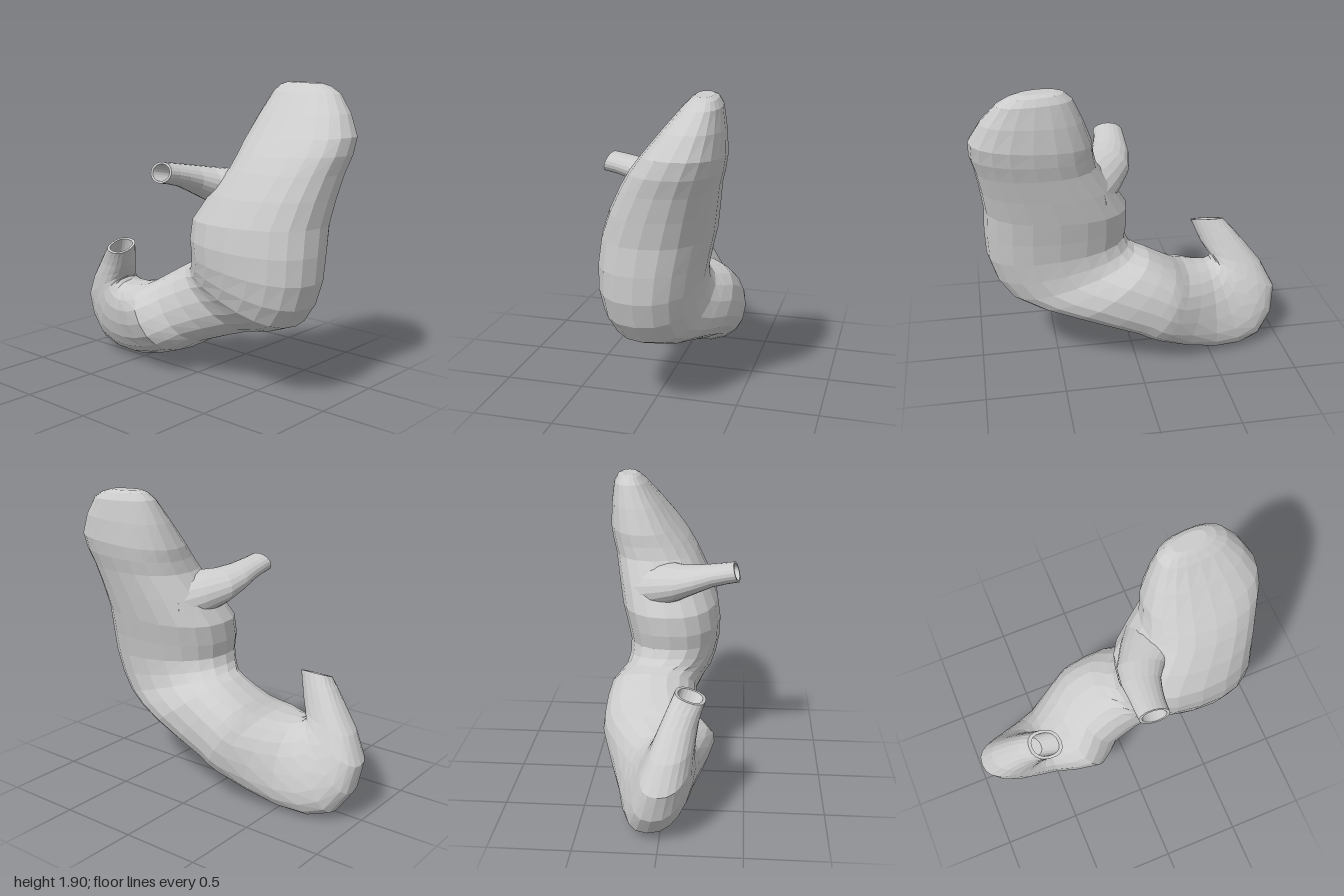
import * as THREE from 'three';

const SIDES = 20;
const vec = (a) => new THREE.Vector3(...a);

// A ring has a centre c and two half axes, u (inner to outer edge) and v (depth)
function ring(inner, outer, depth) {
  const a = vec(inner), b = vec(outer);
  return {
    c: a.clone().add(b).multiplyScalar(0.5),
    u: b.sub(a).multiplyScalar(0.5),
    v: Array.isArray(depth) ? vec(depth) : new THREE.Vector3(0, 0, depth),
  };
}

// Add a smooth in-between ring on every span
function refine(keys) {
  const [c, u, v] = ['c', 'u', 'v'].map(
    (k) => new THREE.CatmullRomCurve3(keys.map((r) => r[k]), false, 'catmullrom', 0.5));
  const steps = (keys.length - 1) * 2;
  return Array.from({ length: steps + 1 }, (_, i) => {
    const t = i / steps;
    return { c: c.getPoint(t), u: u.getPoint(t), v: v.getPoint(t) };
  });
}

// Turn the end of a tube inward to make a lip and a hollow
function withMouth(rings) {
  const n = rings.length, rim = rings[n - 1];
  const shrunk = (s, c) => ({
    c, u: rim.u.clone().multiplyScalar(s), v: rim.v.clone().multiplyScalar(s),
  });
  return [...rings, shrunk(0.8, rim.c), shrunk(0.7, rings[n - 3].c)];
}

// Skin the rings with softened sections and close both ends
function loft(rings, power) {
  const pos = [], idx = [];
  const soft = (n) => Math.sign(n) * Math.pow(Math.abs(n), power);
  for (const r of rings) {
    for (let j = 0; j < SIDES; j++) {
      const t = (j / SIDES) * Math.PI * 2;
      const p = r.c.clone().addScaledVector(r.u, soft(Math.cos(t))).addScaledVector(r.v, soft(Math.sin(t)));
      pos.push(p.x, p.y, p.z);
    }
  }
  const last = rings.length - 1, start = rings.length * SIDES;
  pos.push(...rings[0].c.toArray(), ...rings[last].c.toArray());
  for (let j = 0; j < SIDES; j++) {
    const k = (j + 1) % SIDES;
    for (let i = 0; i < last; i++) {
      const a = i * SIDES + j, b = i * SIDES + k;
      idx.push(a, b, b + SIDES, a, b + SIDES, a + SIDES);
    }
    idx.push(start, k, j, start + 1, last * SIDES + j, last * SIDES + k);
  }
  const g = new THREE.BufferGeometry();
  g.setAttribute('position', new THREE.Float32BufferAttribute(pos, 3));
  g.setIndex(idx);
  const flat = g.toNonIndexed();
  flat.computeVertexNormals();
  return flat;
}

export function createModel() {
  const group = new THREE.Group();
  group.name = 'stomach';
  const grey = new THREE.MeshStandardMaterial({ color: 0xcccccc });
  grey.name = 'light grey';

  const add = (name, keys, power) => {
    const mesh = new THREE.Mesh(loft(withMouth(refine(keys)), power), grey);
    mesh.name = name;
    group.add(mesh);
  };

  // Domed top, broad sac, bend, lower chamber and the outlet turning upward
  add('stomachBody', [
    ring([0.48, 1.935, -0.3], [0.7, 1.93, -0.32], 0.05),
    ring([0.39, 1.88, -0.29], [0.83, 1.87, -0.32], 0.11),
    ring([0.27, 1.58, -0.2], [0.995, 1.63, -0.22], 0.23),
    ring([0.24, 1.42, -0.13], [0.97, 1.42, -0.12], 0.275),
    ring([0.04, 1.1, -0.03], [0.93, 1.12, -0.02], 0.32),
    ring([0.05, 0.88, 0], [0.93, 0.79, 0.02], 0.3),
    ring([-0.01, 0.79, -0.05], [0.79, 0.51, 0], 0.28),
    ring([-0.09, 0.77, -0.11], [0.43, 0.39, -0.11], 0.28),
    ring([-0.26, 0.67, -0.1], [0.02, 0.24, -0.11], 0.31),
    ring([-0.36, 0.6, -0.02], [-0.12, 0.16, -0.07], 0.35),
    ring([-0.52, 0.57, 0.04], [-0.53, 0.035, -0.09], 0.24),
    ring([-0.57, 0.6, 0.07], [-0.86, 0.08, -0.07], 0.19),
    ring([-0.55, 0.62, 0.09], [-0.98, 0.39, 0], 0.145),
    ring([-0.5, 0.69, 0.13], [-0.78, 0.7, 0.08], 0.11),
    ring([-0.44, 0.83, 0.18], [-0.65, 0.84, 0.15], [0, -0.035, 0.09]),
  ], 0.85);

  // Inlet tube flaring out of the sac and reaching forward
  add('inletTube', [
    ring([0.2, 1.2, -0.28], [0.6, 1.22, -0.05], [0, 0.18, 0]),
    ring([0.01, 1.3, 0.02], [0.29, 1.32, 0.11], [0, 0.11, 0]),
    ring([-0.01, 1.38, 0.26], [0.2, 1.38, 0.28], [0, 0.072, 0]),
    ring([-0.01, 1.41, 0.41], [0.18, 1.41, 0.43], [0, 0.062, -0.02]),
  ], 1);

  return group;
}
